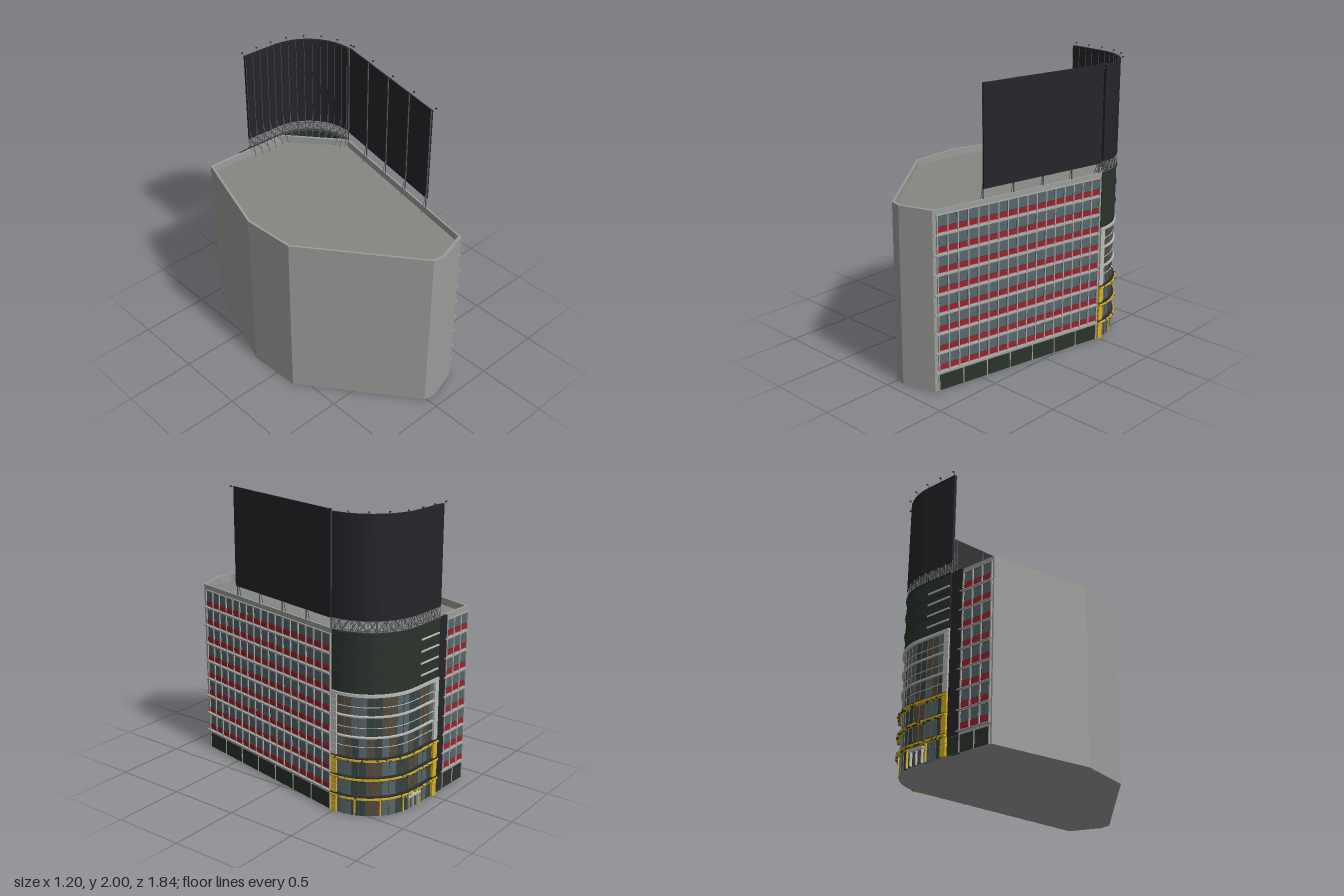
import * as THREE from 'three';
import { mergeGeometries } from 'three/addons/utils/BufferGeometryUtils.js';

const COLORS = {
  wall: 0x9b9d9a, trim: 0xa4a6a3, roof: 0x858782, glass: 0x56666a, glassDark: 0x35433f, glassBrown: 0x564b3a,
  red: 0xa01f2c, green: 0x2b332c, frame: 0x2a2c2d, black: 0x25252a, yellow: 0xd8b020, steel: 0x55585a,
  pale: 0xb9bbbb, leaf: 0x2c3418
};
const TOP = 1.24, ROOF = 1.19;

// Footprint corners, [x, z]
const PLAN = [[-0.38, -0.9], [-0.6, -0.22], [-0.58, 0.16], [-0.01, 0.9], [0.07, 0.92], [0.3, 0.85], [0.565, -0.49], [0.25, -0.87]];

// Tower front line: an arc followed by a straight run along the back
const CX = 0.205, CZ = -0.52, R = 0.37, PHI0 = 0.08, PHI1 = -1.518;
const ARC = R * (PHI0 - PHI1), LEN = ARC + 0.255;
function at(s, off = 0) {
  const phi = s < ARC ? PHI0 - s / R : PHI1;
  const run = Math.max(0, s - ARC), nx = Math.cos(phi), nz = Math.sin(phi);
  return [CX + (R + off) * nx + run * nz, CZ + (R + off) * nz - run * nx];
}

const shapeOf = pts => new THREE.Shape(pts.map(([x, z]) => new THREE.Vector2(x, -z)));
function extrudePlan(shape, y0, y1) {
  const g = new THREE.ExtrudeGeometry(shape, { depth: y1 - y0, bevelEnabled: false });
  return g.rotateX(-Math.PI / 2).translate(0, y0, 0);
}
// Curved slab following the tower front
function band(s0, s1, y0, y1, inner, outer, n = Math.max(1, Math.ceil((s1 - s0) / 0.045))) {
  const a = [], b = [];
  for (let i = 0; i <= n; i++) {
    const s = s0 + (s1 - s0) * i / n;
    a.push(at(s, outer));
    b.unshift(at(s, inner));
  }
  return extrudePlan(shapeOf([...a, ...b]), y0, y1);
}
// Box between opposite corners
function box(x0, x1, y0, y1, z0, z1) {
  return new THREE.BoxGeometry(x1 - x0, y1 - y0, z1 - z0).translate((x0 + x1) / 2, (y0 + y1) / 2, (z0 + z1) / 2);
}
// Thin square bar between two points
function bar(p, q, r = 0.003) {
  const a = new THREE.Vector3(...p), b = new THREE.Vector3(...q), d = b.clone().sub(a);
  const g = new THREE.CylinderGeometry(r, r, d.length(), 4);
  g.applyQuaternion(new THREE.Quaternion().setFromUnitVectors(new THREE.Vector3(0, 1, 0), d.normalize()));
  return g.translate((a.x + b.x) / 2, (a.y + b.y) / 2, (a.z + b.z) / 2);
}
function addPart(parent, name, color, geos) {
  const g = mergeGeometries(geos.map(o => (o.index ? o.toNonIndexed() : o)));
  const m = new THREE.Mesh(g, new THREE.MeshStandardMaterial({ color: COLORS[color], flatShading: true, side: THREE.DoubleSide }));
  m.name = name;
  parent.add(m);
}

// Group whose x runs along a wall and z points outward
function wallGroup(name, from, to) {
  const g = new THREE.Group();
  g.name = name;
  g.position.set(from[0], 0, from[1]);
  g.rotation.y = Math.atan2(from[1] - to[1], to[0] - from[0]);
  return g;
}

// Eight storeys of windows above a dark shopfront
function windowWall(g, x0, x1, cols, shops) {
  const glass = [], red = [], frame = [], trim = [], shop = [], posts = [];
  const p = (x1 - x0) / cols;
  for (let f = 0; f < 8; f++) {
    const y = 0.148 + f * 0.1345;
    trim.push(box(x0 - 0.025, x1, y - 0.015, y - 0.008, 0, 0.018));
    trim.push(box(x0, x1, y + 0.112, y + 0.118, 0, 0.01));
    for (let c = 0; c < cols; c++) {
      const a = x0 + c * p + 0.005, b = a + p - 0.01;
      frame.push(box(a, b, y, y + 0.112, 0, 0.003));
      glass.push(box(a + 0.003, b - 0.003, y + 0.04, y + 0.108, 0, 0.005));
      red.push(box(a + 0.002, b - 0.002, y + 0.002, y + 0.036, 0, 0.008));
    }
    for (let c = 0; c <= cols; c++) trim.push(box(x0 + c * p - 0.004, x0 + c * p + 0.004, y - 0.008, y + 0.115, 0, 0.011));
  }
  shop.push(box(x0, x1, 0.003, 0.112, 0, 0.004));
  for (let c = 0; c <= shops; c++) {
    const x = x0 + (x1 - x0) * c / shops;
    posts.push(box(x - 0.003, x + 0.003, 0, 0.115, 0, 0.009));
  }
  addPart(g, 'windowFrames', 'frame', frame);
  addPart(g, 'windowGlass', 'glass', glass);
  addPart(g, 'redPanels', 'red', red);
  addPart(g, 'sillsAndMullions', 'trim', trim);
  addPart(g, 'shopfront', 'green', shop);
  addPart(g, 'shopfrontPosts', 'trim', posts);
}

function body(root) {
  const inner = PLAN.map(([x, z]) => [x * 0.972, z * 0.978]);
  const ring = shapeOf(PLAN);
  ring.holes.push(new THREE.Path(inner.map(([x, z]) => new THREE.Vector2(x, -z))));
  addPart(root, 'outerWalls', 'wall', [extrudePlan(ring, 0, TOP)]);
  addPart(root, 'roof', 'roof', [extrudePlan(shapeOf(inner), ROOF - 0.02, ROOF)]);
  const base = [...PLAN.slice(0, 6)];
  for (let i = 0; i <= 16; i++) base.push(at(LEN * i / 16, -0.01));
  const under = new THREE.ShapeGeometry(shapeOf(base)).rotateX(Math.PI / 2).scale(1, 1, -1);
  const idx = under.index.array;
  for (let i = 0; i < idx.length; i += 3) [idx[i], idx[i + 1]] = [idx[i + 1], idx[i]];
  under.deleteAttribute('normal');
  under.computeVertexNormals();
  // Seen from below only
  const n = under.attributes.normal.getY(0);
  const mat = new THREE.MeshStandardMaterial({ color: COLORS.wall, side: n < 0 ? THREE.FrontSide : THREE.BackSide });
  const floor = new THREE.Mesh(under, mat);
  floor.name = 'underside';
  root.add(floor);
}

function tower(root) {
  const g = new THREE.Group();
  g.name = 'cornerTower';
  root.add(g);
  addPart(g, 'upperCladding', 'green', [band(0, LEN, 0.84, TOP, -0.025, -0.004)]);
  addPart(g, 'claddingSeams', 'frame', [0.97, 1.105, 1.232].map(y => band(0, LEN, y, y + 0.006, -0.01, 0.003)));
  addPart(g, 'louvreBars', 'pale', [0.9, 0.98, 1.06, 1.14].map(y => band(LEN - 0.2, LEN - 0.01, y, y + 0.01, -0.01, 0.004)));

  // Glazing in mixed tints, six storeys
  const tints = { glass: [], glassDark: [], glassBrown: [] }, keys = Object.keys(tints);
  const rows = [[0.0, 0.125], [0.14, 0.26], [0.275, 0.39], [0.41, 0.545], [0.555, 0.685], [0.695, 0.825]];
  const a = 0.04, b = LEN - 0.04, cols = 15, mull = [];
  rows.forEach(([y0, y1], r) => {
    for (let c = 0; c < cols; c++) {
      const s = a + (b - a) * c / cols, e = a + (b - a) * (c + 1) / cols;
      tints[keys[(c * 5 + r * 2 + ((c * c + r) % 4)) % 3]].push(band(s, e, y0, y1, -0.025, -0.012));
      mull.push(band(s - 0.0015, s + 0.0015, y0, y1, -0.02, -0.007));
    }
  });
  keys.forEach(k => addPart(g, 'towerGlass', k, tints[k]));
  addPart(g, 'towerMullions', 'steel', mull);

  // Pale surround above, yellow surround below, built from stacked blocks
  const pale = [band(0, LEN, 0.822, 0.842, -0.025, 0.006)], yellow = [], ledges = [];
  for (const [s0, s1] of [[0, 0.04], [LEN - 0.04, LEN]]) {
    for (let i = 0; i < 10; i++) {
      yellow.push(band(s0, s1, i * 0.04, i * 0.04 + 0.038, -0.03, 0.005));
      pale.push(band(s0, s1, 0.4 + i * 0.043, 0.4 + i * 0.043 + 0.041, -0.03, 0.004));
    }
  }
  for (const y of [0.545, 0.685]) pale.push(band(a, b, y, y + 0.009, -0.025, 0.004));
  for (const y of [0.61, 0.75, 0.48]) pale.push(band(a, b, y, y + 0.003, -0.014, -0.006));
  for (const y of [0.123, 0.258, 0.39]) {
    yellow.push(band(0, LEN, y, y + 0.012, -0.025, 0.018));
    ledges.push(band(0, LEN, y + 0.012, y + 0.02, -0.02, 0.01));
  }
  for (let i = 1; i < 5; i++) yellow.push(band(LEN * i / 5 - 0.004, LEN * i / 5 + 0.004, 0, 0.125, -0.02, 0));
  addPart(g, 'paleSurround', 'pale', pale);
  addPart(g, 'yellowSurround', 'yellow', yellow);
  addPart(g, 'planters', 'frame', ledges);
  addPart(g, 'entrance', 'pale', [band(0.55, 0.556, 0, 0.1, -0.02, 0.006), band(0.65, 0.656, 0, 0.1, -0.02, 0.006),
    band(0.6, 0.604, 0, 0.1, -0.02, 0.004), band(0.54, 0.666, 0.09, 0.104, -0.02, 0.014)]);

  // Hanging plants on the planters
  let seed = 7;
  const rnd = () => (seed = (seed * 16807) % 2147483647) / 2147483647;
  const leaves = [];
  for (const y of [0.132, 0.264, 0.395]) for (let i = 0; i < 75; i++) {
    const [x, z] = at(0.03 + rnd() * (LEN - 0.06), 0.004 + rnd() * 0.012);
    leaves.push(new THREE.IcosahedronGeometry(0.005 + rnd() * 0.005, 0).scale(1, 0.8, 1).translate(x, y - 0.016 + rnd() * 0.024, z));
  }
  addPart(g, 'plants', 'leaf', leaves);
}

function curvedScreen(root) {
  const g = new THREE.Group();
  g.name = 'curvedScreen';
  root.add(g);
  addPart(g, 'screenPanel', 'black', [band(0, LEN, 1.32, 1.98, -0.02, 0)]);
  const steel = [], lamps = [], n = 14;
  const p = (s, off, y) => { const [x, z] = at(s, off); return [x, y, z]; };
  for (let i = 0; i <= n; i++) {
    const s = LEN * i / n, e = LEN * (i + 1) / n;
    // Lattice between roof and screen, with raking braces behind
    for (const off of [-0.006, -0.03]) {
      steel.push(bar(p(s, off, 1.23), p(s, off, 1.33)));
      if (i === n) continue;
      steel.push(bar(p(s, off, 1.24), p(e, off, 1.32), 0.0025), bar(p(s, off, 1.32), p(e, off, 1.24), 0.0025));
      for (const y of [1.245, 1.315]) steel.push(bar(p(s, off, y), p(e, off, y), 0.0025));
    }
    steel.push(bar(p(s, -0.085, 1.2), p(s, -0.022, 1.4), 0.0025), bar(p(s, -0.085, 1.24), p(s, -0.006, 1.24), 0.0025));
    steel.push(bar(p(s, -0.022, 1.32), p(s, -0.022, 1.975), 0.002));
    if (i % 2 === 0) {
      lamps.push(bar(p(s, -0.01, 1.97), p(s, 0.012, 1.995), 0.0015));
      lamps.push(new THREE.BoxGeometry(0.01, 0.006, 0.01).translate(...p(s, 0.014, 1.997)));
    }
  }
  addPart(g, 'lattice', 'steel', steel);
  addPart(g, 'lamps', 'frame', lamps);
}

// Flat screen standing along the right-hand windows
function flatScreen(wall) {
  const x0 = 0.383, x1 = 1.35, steel = [], lamps = [];
  addPart(wall, 'flatScreenPanel', 'black', [box(x0, x1, 1.31, 1.99, -0.004, 0.006)]);
  for (let i = 0; i < 5; i++) {
    const x = x0 + 0.003 + (x1 - x0 - 0.006) * i / 4;
    steel.push(box(x - 0.003, x + 0.003, 1.2, 1.99, -0.01, -0.004));
    steel.push(bar([x, 1.2, -0.04], [x, 1.36, -0.008], 0.0025));
    lamps.push(bar([x, 1.985, 0], [x, 1.995, 0.03], 0.0015), box(x - 0.006, x + 0.006, 1.991, 1.999, 0.024, 0.034));
  }
  addPart(wall, 'flatScreenPosts', 'steel', steel);
  addPart(wall, 'flatScreenLamps', 'frame', lamps);
}

export function createModel() {
  const root = new THREE.Group();
  root.name = 'cornerBuilding';
  body(root);
  tower(root);
  curvedScreen(root);

  const side = wallGroup('sideFacade', PLAN[5], PLAN[6]);
  windowWall(side, 0.03, 1.35, 17, 7);
  flatScreen(side);
  root.add(side);

  const back = wallGroup('backFacade', [-0.03, -0.884], PLAN[0]);
  windowWall(back, 0.1, 0.335, 3, 2);
  addPart(back, 'darkStrip', 'black', [box(0, 0.09, 0.12, TOP, -0.01, 0.01)]);
  addPart(back, 'stripBase', 'green', [box(0, 0.1, 0, 0.115, -0.01, 0.005)]);
  root.add(back);
  return root;
}
